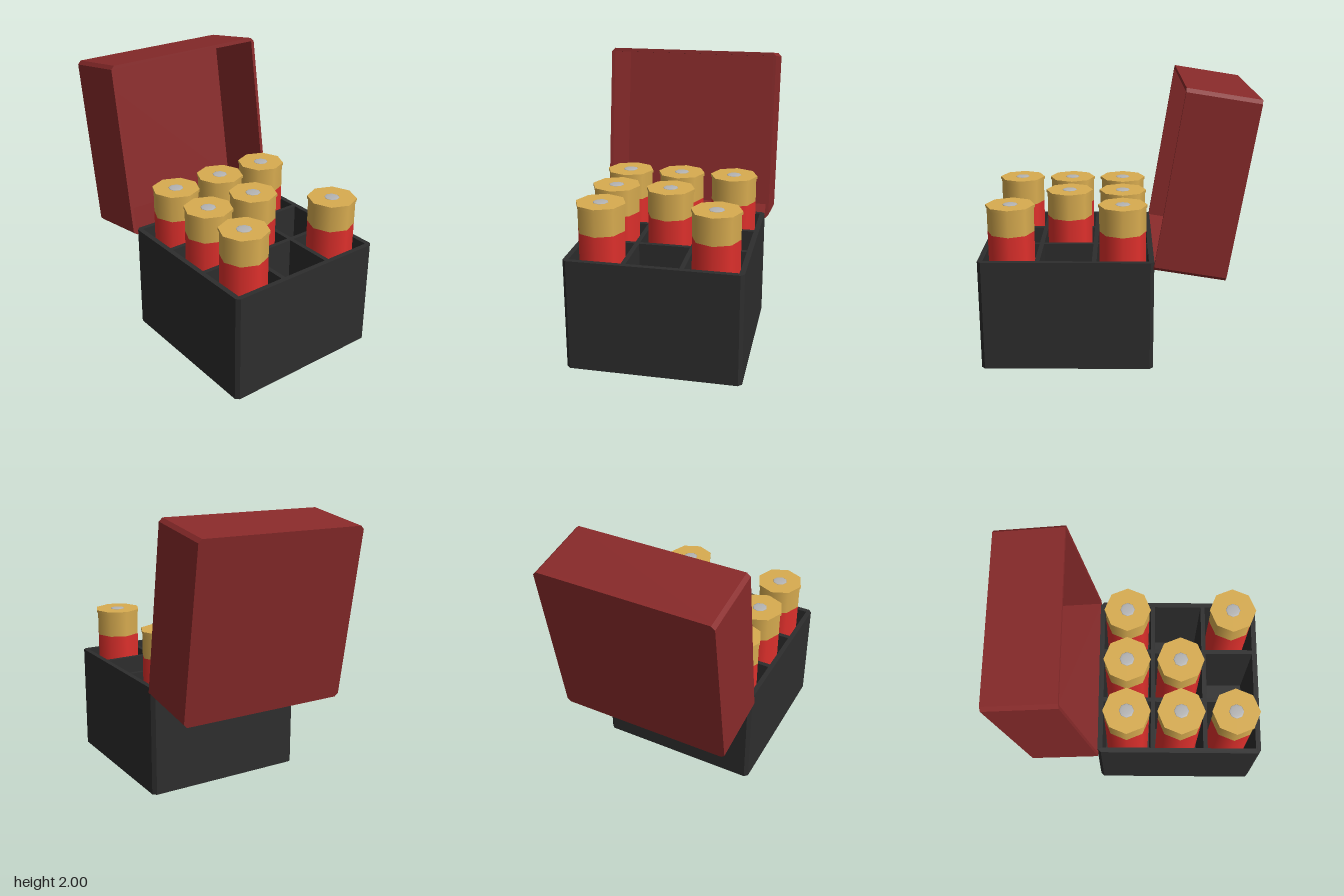
import * as THREE from 'three';

const mat = (color, extra = {}) => new THREE.MeshStandardMaterial({ color, ...extra });

function add(parent, name, geometry, material, x = 0, y = 0, z = 0) {
  const mesh = new THREE.Mesh(geometry, material);
  mesh.name = name;
  mesh.position.set(x, y, z);
  parent.add(mesh);
  return mesh;
}

// Rectangle centred on the origin with cut corners
function cutRect(w, h, c, Type = THREE.Shape) {
  const a = w / 2, b = h / 2;
  const s = new Type();
  s.setFromPoints([
    [-a + c, -b], [a - c, -b], [a, -b + c], [a, b - c],
    [a - c, b], [-a + c, b], [-a, b - c], [-a, -b + c],
  ].map(([x, y]) => new THREE.Vector2(x, y)));
  s.closePath();
  return s;
}

// Square-cornered opening
function opening(x, y, w, h) {
  const a = w / 2, b = h / 2;
  const p = new THREE.Path();
  p.moveTo(x - a, y - b).lineTo(x - a, y + b).lineTo(x + a, y + b).lineTo(x + a, y - b).closePath();
  return p;
}

const extrude = (shape, depth) => new THREE.ExtrudeGeometry(shape, { depth, bevelEnabled: false });

export function createModel() {
  const model = new THREE.Group();
  model.name = 'shellBox';

  const black = mat(0x2d2d2d, { flatShading: true });
  const maroon = mat(0x882a2a, { flatShading: true });
  const red = mat(0xdf302c);
  const brass = mat(0xd8ac50);
  const steel = mat(0xb4b4b4);

  const pitch = 0.393, floorY = 0.04, boxH = 0.8;

  // Tray: floor plus a block pierced by a 3 x 3 grid of cells
  const tray = new THREE.Group();
  tray.name = 'tray';
  tray.position.z = 0.345;
  model.add(tray);
  const grid = cutRect(1.22, 1.22, 0.025);
  for (let i = -1; i <= 1; i++)
    for (let j = -1; j <= 1; j++) grid.holes.push(opening(i * pitch, j * pitch, 0.36, 0.36));
  add(tray, 'trayWalls', extrude(grid, boxH - floorY).rotateX(-Math.PI / 2), black, 0, floorY);
  add(tray, 'trayFloor', extrude(cutRect(1.22, 1.22, 0.025), floorY).rotateX(-Math.PI / 2), black);

  // Eight-sided shells, base upward; two cells stay empty
  const bodyGeo = new THREE.CylinderGeometry(0.165, 0.165, 0.96 - floorY, 8);
  const headGeo = new THREE.CylinderGeometry(0.165, 0.165, 0.175, 8);
  const rimGeo = new THREE.CylinderGeometry(0.173, 0.173, 0.02, 8);
  const primerGeo = new THREE.SphereGeometry(0.055, 8, 4, 0, Math.PI * 2, 0, Math.PI / 2).scale(1, 0.12, 1);
  const empty = ['1,0', '0,1'];
  for (let i = -1; i <= 1; i++)
    for (let j = -1; j <= 1; j++) {
      if (empty.includes(`${i},${j}`)) continue;
      const shell = new THREE.Group();
      shell.name = 'shell';
      shell.position.set(i * pitch, 0, j * pitch);
      tray.add(shell);
      add(shell, 'shellBody', bodyGeo, red, 0, (0.96 + floorY) / 2);
      add(shell, 'shellHead', headGeo, brass, 0, 1.0475);
      add(shell, 'shellRim', rimGeo, brass, 0, 1.145);
      add(shell, 'primer', primerGeo, steel, 0, 1.1545);
    }

  // Lid: shallow open box tipped back behind the tray, opening to the front
  const lidW = 1.27, lidH = 1.26, lidD = 0.5, t = 0.025;
  const lid = new THREE.Group();
  lid.name = 'lid';
  lid.position.set(0, 0.676, -0.752);
  lid.rotation.x = -THREE.MathUtils.degToRad(9);
  model.add(lid);
  const rim = cutRect(lidW, lidH, 0.025);
  rim.holes.push(opening(0, 0, lidW - 2 * t, lidH - 2 * t));
  add(lid, 'lidWalls', extrude(rim, lidD - t), maroon, 0, lidH / 2, t);
  add(lid, 'lidPanel', extrude(cutRect(lidW, lidH, 0.025), t), maroon, 0, lidH / 2, 0);

  return model;
}
